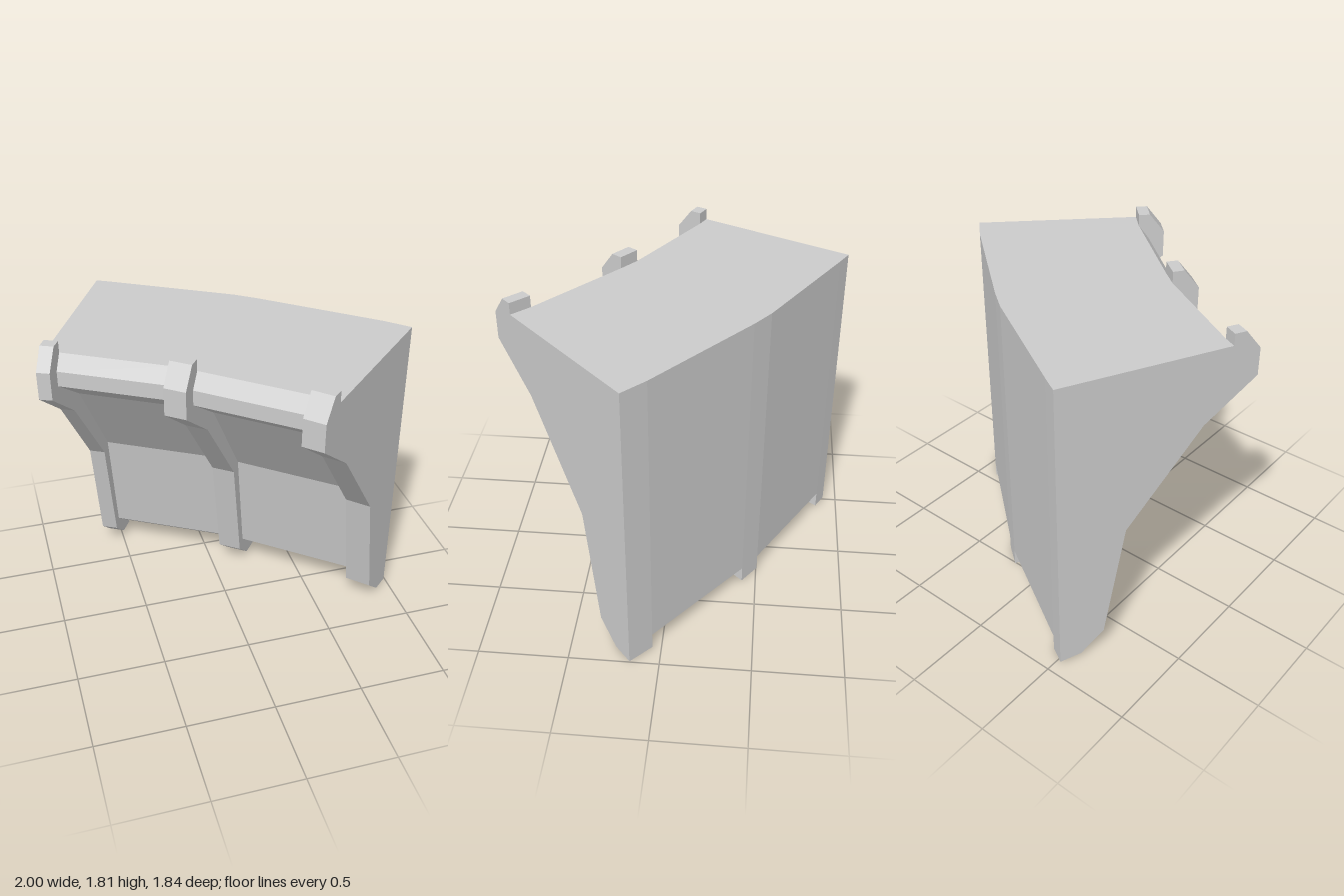
import * as THREE from 'three';

// Plan stations from left end to right end: [back x, back z, front x, front z]
const STATIONS = [
  [-0.52, -0.92, -1.0, 0.04],
  [-0.43, -0.87, -0.935, 0.07],
  [0.195, -0.505, -0.42, 0.37],
  [0.31, -0.42, -0.325, 0.445],
  [0.88, 0.05, 0.14, 0.83],
  [0.995, 0.163, 0.225, 0.915],
];

// Profiles as [depth from back 0..1, height], counter-clockwise
const RIB = [
  [0, 0.003], [0.113, 0.017], [0.238, 0.135], [0.35, 0.8], [0.735, 1.33], [1, 1.55],
  [1, 1.705], [0.92, 1.815], [0.86, 1.815], [0.86, 1.75], [0, 1.75],
];
const PANEL = [
  [0, 0.1], [0.1, 0.1], [0.19, 0.18], [0.285, 0.83], [0.655, 1.39], [0.915, 1.585],
  [0.915, 1.67], [0.86, 1.75], [0, 1.75],
];

// Sweep a profile between two stations, with optional end walls
function sweep(name, profile, a, b, capped) {
  const at = ([bx, bz, fx, fz], [u, y]) => [bx + (fx - bx) * u, y, bz + (fz - bz) * u];
  const A = profile.map((p) => at(a, p));
  const B = profile.map((p) => at(b, p));
  const pos = [];
  const tri = (...corners) => corners.forEach((c) => pos.push(...c));
  profile.forEach((_, i) => {
    const j = (i + 1) % profile.length;
    tri(A[i], B[i], B[j]);
    tri(A[i], B[j], A[j]);
  });
  if (capped) {
    const outline = profile.map(([u, y]) => new THREE.Vector2(u, y));
    for (const [i, j, k] of THREE.ShapeUtils.triangulateShape(outline, [])) {
      tri(A[i], A[j], A[k]);
      tri(B[i], B[k], B[j]);
    }
  }
  const geometry = new THREE.BufferGeometry();
  geometry.setAttribute('position', new THREE.Float32BufferAttribute(pos, 3));
  geometry.computeVertexNormals();
  const material = new THREE.MeshStandardMaterial({ color: 0xcccccc, flatShading: true });
  const mesh = new THREE.Mesh(geometry, material);
  mesh.name = name;
  return mesh;
}

export function createModel() {
  const group = new THREE.Group();
  group.name = 'curvedButtressWall';
  // Ribs and recessed panels alternate along the curve
  const names = ['leftRib', 'leftPanel', 'middleRib', 'rightPanel', 'rightRib'];
  names.forEach((name, i) => {
    const isRib = i % 2 === 0;
    group.add(sweep(name, isRib ? RIB : PANEL, STATIONS[i], STATIONS[i + 1], isRib));
  });
  return group;
}
